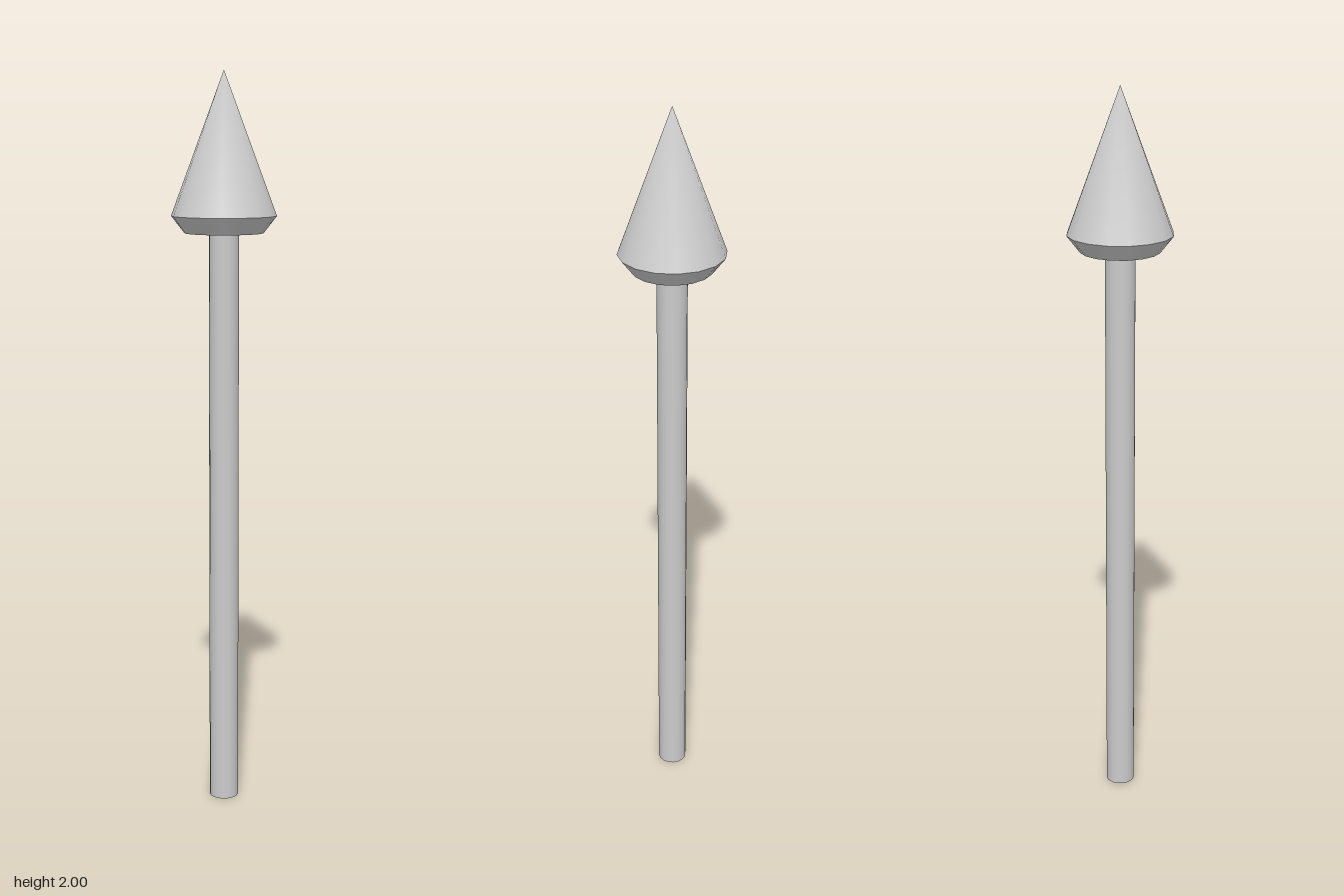
import * as THREE from 'three';
import { mergeVertices } from 'three/addons/utils/BufferGeometryUtils.js';

const SIDES = 16;

export function createModel() {
  const group = new THREE.Group();
  group.name = 'arrow';
  const material = new THREE.MeshStandardMaterial({ color: 0xcccccc, side: THREE.DoubleSide });

  // Stacked round section from y0 to y1
  const section = (name, rBottom, rTop, y0, y1) => {
    const geometry = new THREE.CylinderGeometry(rTop, rBottom, y1 - y0, SIDES, 1, true);
    geometry.translate(0, (y0 + y1) / 2, 0);
    const mesh = new THREE.Mesh(geometry, material);
    mesh.name = name;
    group.add(mesh);
    return mesh;
  };

  // Hollow shaft, open at the foot
  section('shaft', 0.04, 0.04, 0, 1.58);

  // Bevelled collar under the head
  section('headBevel', 0.105, 0.14, 1.58, 1.625);

  // Pointed head, smoothed across its tip
  const tip = section('headCone', 0.14, 0, 1.625, 2);
  tip.geometry.deleteAttribute('normal');
  tip.geometry.deleteAttribute('uv');
  tip.geometry = mergeVertices(tip.geometry);
  tip.geometry.computeVertexNormals();

  // Flat underside of the head
  const disc = new THREE.CircleGeometry(0.105, SIDES);
  disc.rotateX(Math.PI / 2);
  disc.translate(0, 1.58, 0);
  const underside = new THREE.Mesh(disc, material);
  underside.name = 'headUnderside';
  group.add(underside);

  return group;
}
